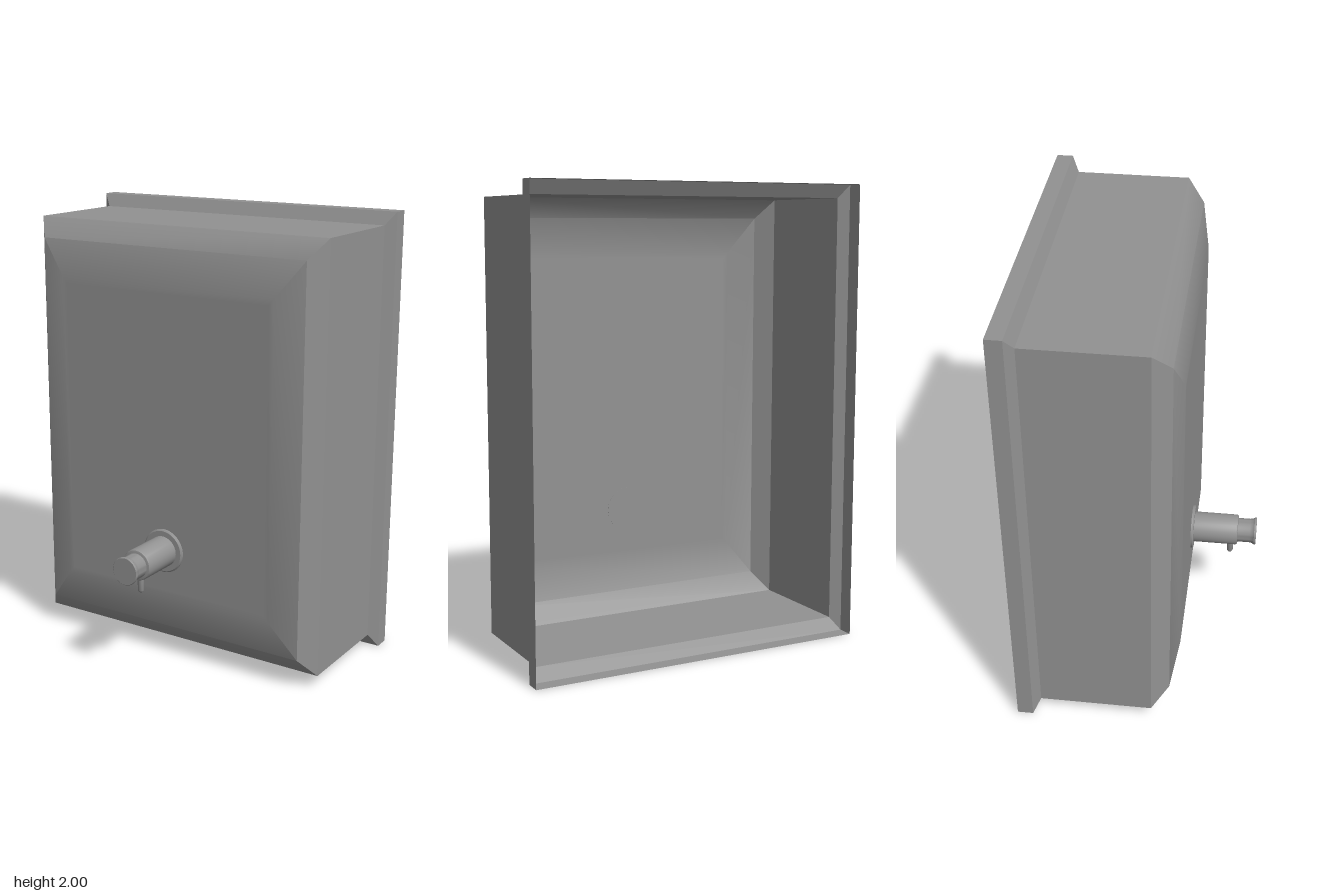
import * as THREE from 'three';
import { toCreasedNormals } from 'three/addons/utils/BufferGeometryUtils.js';

const metal = new THREE.MeshStandardMaterial({ color: 0x929292 });
const sheet = new THREE.MeshStandardMaterial({ color: 0x929292, side: THREE.DoubleSide });

// Thin shell lofted through rectangles [halfWidth, halfHeight, z], closed at the last one
function loftShell(sections) {
  const positions = [];
  const index = [];
  for (const [w, h, z] of sections) {
    positions.push(-w, -h, z, w, -h, z, w, h, z, -w, h, z);
  }
  for (let s = 0; s < sections.length - 1; s++) {
    for (let i = 0; i < 4; i++) {
      const a = s * 4 + i;
      const b = s * 4 + (i + 1) % 4;
      index.push(a, b, b + 4, a, b + 4, a + 4);
    }
  }
  const f = (sections.length - 1) * 4;
  index.push(f, f + 1, f + 2, f, f + 2, f + 3);
  const geometry = new THREE.BufferGeometry();
  geometry.setAttribute('position', new THREE.Float32BufferAttribute(positions, 3));
  geometry.setIndex(index);
  return toCreasedNormals(geometry, 0.55);
}

// Turned part along +z from [radius, z] points
function turned(name, profile, segments = 40) {
  const points = profile.map(([r, z]) => new THREE.Vector2(r, z));
  const geometry = new THREE.LatheGeometry(points, segments).rotateX(Math.PI / 2);
  const mesh = new THREE.Mesh(toCreasedNormals(geometry, 0.6), metal);
  mesh.name = name;
  return mesh;
}

export function createModel() {
  const model = new THREE.Group();
  model.name = 'wallDispenser';

  // Open-backed cover: wall flange, straight sides, two soft bevels and a flat front panel
  const cover = new THREE.Mesh(loftShell([
    [0.765, 1.0, -0.505],
    [0.765, 1.0, -0.435],
    [0.723, 0.943, -0.403],
    [0.723, 0.943, 0.095],
    [0.66, 0.858, 0.17],
    [0.535, 0.7, 0.205],
    [0.51, 0.67, 0.205],
  ]), sheet);
  cover.name = 'cover';
  cover.position.y = 1;
  model.add(cover);

  // Push valve on the front panel
  const valve = new THREE.Group();
  valve.name = 'valve';
  valve.position.set(0, 0.52, 0);
  valve.add(turned('valveFlange', [
    [0.1, 0.204], [0.1, 0.212], [0.094, 0.217], [0, 0.217],
  ]));
  valve.add(turned('valveBarrel', [
    [0.07, 0.21], [0.07, 0.412], [0.067, 0.418], [0.06, 0.42], [0, 0.42],
  ]));
  valve.add(turned('pushButton', [
    [0.055, 0.41], [0.055, 0.475], [0.057, 0.488], [0.063, 0.496],
    [0.063, 0.502], [0.06, 0.505], [0, 0.505],
  ]));

  // Small outlet spout below the barrel
  const spout = turned('spout', [
    [0.014, 0], [0.014, 0.078], [0.011, 0.084], [0.006, 0.087], [0, 0.087],
  ], 20);
  spout.rotation.x = Math.PI / 2;
  spout.position.set(0, -0.048, 0.386);
  valve.add(spout);
  model.add(valve);

  return model;
}
